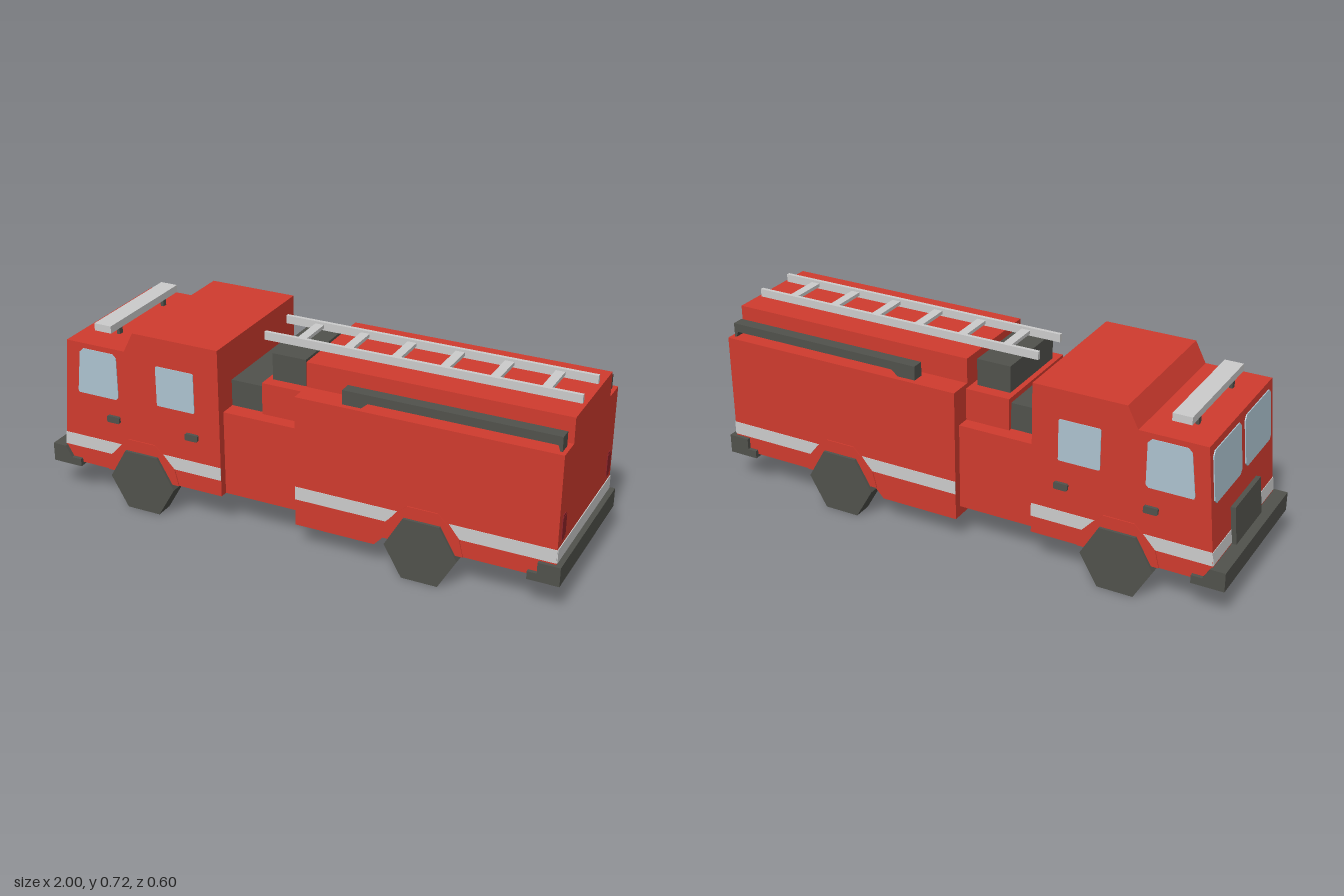
import * as THREE from 'three';

export function createModel() {
  const truck = new THREE.Group();
  truck.name = 'fireTruck';

  const mat = (name, color) => {
    const m = new THREE.MeshStandardMaterial({ color });
    m.name = name;
    return m;
  };
  const red = mat('red paint', 0xd03b2e);
  const dark = mat('dark grey', 0x51524c);
  const silver = mat('light grey', 0xcccccc);
  const glass = mat('window glass', 0xadc3d0);
  const tail = mat('tail light red', 0x8f2328);

  const add = (name, geo, material, parent = truck) => {
    const m = new THREE.Mesh(geo, material);
    m.name = name;
    parent.add(m);
    return m;
  };

  // Box given by its limits on each axis
  const box = (name, material, [x0, x1], [y0, y1], [z0, z1], parent) => {
    const m = add(name, new THREE.BoxGeometry(x1 - x0, y1 - y0, z1 - z0), material, parent);
    m.position.set((x0 + x1) / 2, (y0 + y1) / 2, (z0 + z1) / 2);
    return m;
  };

  // Side profile (x, y) extruded along z between two limits
  const slab = (name, material, pts, z0, z1, parent) => {
    const shape = new THREE.Shape(pts.map(([x, y]) => new THREE.Vector2(x, y)));
    const geo = new THREE.ExtrudeGeometry(shape, { depth: z1 - z0, bevelEnabled: false });
    geo.translate(0, 0, z0);
    return add(name, geo, material, parent);
  };
  const pair = (name, material, pts, z0, z1) => {
    slab(name + 'Left', material, pts, z0, z1);
    slab(name + 'Right', material, pts, -z1, -z0);
  };

  // Rectangle with chamfered corners
  const cut = (x0, x1, y0, y1, c) => [
    [x0 + c, y0], [x1 - c, y0], [x1, y0 + c], [x1, y1 - c],
    [x1 - c, y1], [x0 + c, y1], [x0, y1 - c], [x0, y0 + c],
  ];

  const W = 0.286; // half width of the body

  // Cab with raised crew roof
  slab('cab', red, [
    [-0.955, 0.135], [-0.28, 0.135], [-0.28, 0.708], [-0.625, 0.708],
    [-0.665, 0.63], [-0.91, 0.63],
  ], -W, W);

  // Pump section and its equipment
  box('pumpSection', red, [-0.28, 0.02], [0.135, 0.46], [-0.255, 0.255]);
  box('pumpPanel', dark, [-0.28, -0.15], [0.46, 0.56], [-0.19, 0.19]);
  box('waterTank', red, [-0.15, 0.02], [0.46, 0.58], [-0.205, 0.205]);
  box('hoseBox', dark, [-0.13, 0], [0.58, 0.68], [-0.16, 0.16]);

  // Rear body with lowered skirt and narrower top
  slab('rearBody', red, [
    [0.02, 0.097], [0.325, 0.097], [0.36, 0.135], [0.98, 0.135], [0.98, 0.597], [0.02, 0.597],
  ], -W, W);
  box('rearTop', red, [0.02, 0.98], [0.597, 0.69], [-0.195, 0.195]);

  // Roof-side rails standing on the ledges
  pair('sideRail', dark, [
    [0.19, 0.597], [0.26, 0.597], [0.285, 0.618], [0.95, 0.618],
    [0.957, 0.597], [0.965, 0.597], [0.965, 0.65], [0.19, 0.65],
  ], 0.22, 0.265);

  // Side stripes
  pair('cabStripeFront', silver, [[-0.949, 0.2], [-0.745, 0.2], [-0.7, 0.25], [-0.944, 0.25]], W, W + 0.002);
  pair('cabStripeRear', silver, [[-0.475, 0.2], [-0.28, 0.2], [-0.28, 0.25], [-0.52, 0.25]], W, W + 0.002);
  pair('bodyStripeFront', silver, [[0.02, 0.2], [0.37, 0.2], [0.41, 0.25], [0.02, 0.25]], W, W + 0.002);
  pair('bodyStripeRear', silver, [[0.64, 0.2], [0.98, 0.2], [0.98, 0.25], [0.6, 0.25]], W, W + 0.002);
  box('backStripe', silver, [0.98, 0.983], [0.2, 0.25], [-W, W]);

  // Side windows and door handles
  pair('frontWindow', glass, [
    [-0.87, 0.43], [-0.71, 0.43], [-0.7, 0.44], [-0.7, 0.595],
    [-0.715, 0.61], [-0.84, 0.61], [-0.855, 0.595], [-0.873, 0.44],
  ], W, W + 0.003);
  pair('crewWindow', glass, cut(-0.535, -0.38, 0.445, 0.6, 0.004), W, W + 0.003);
  for (const x of [-0.75, -0.42]) pair('doorHandle', dark, cut(x, x + 0.052, 0.337, 0.363, 0.004), W, W + 0.011);

  // Wheels and arches
  for (const x of [-0.61, 0.503]) {
    pair('wheelArch', red, [
      [x - 0.152, 0.135], [x + 0.152, 0.135], [x + 0.136, 0.2], [x + 0.057, 0.28],
      [x - 0.057, 0.28], [x - 0.136, 0.2],
    ], W, W + 0.004);
    for (const s of [1, -1]) {
      const geo = new THREE.CylinderGeometry(0.135, 0.135, 0.07, 6).toNonIndexed();
      geo.computeVertexNormals();
      geo.rotateY(Math.PI / 2);
      geo.rotateX(Math.PI / 2);
      add(s > 0 ? 'wheelLeft' : 'wheelRight', geo, dark).position.set(x, 0.117, s * 0.265);
    }
  }

  // Bumpers
  slab('frontBumper', dark, [
    [-1, 0.122], [-0.88, 0.122], [-0.88, 0.152], [-0.92, 0.152], [-0.945, 0.194], [-1, 0.194],
  ], -0.3, 0.3);
  slab('rearBumper', dark, [
    [0.885, 0.122], [1, 0.122], [1, 0.194], [0.92, 0.194], [0.92, 0.152], [0.885, 0.152],
  ], -0.3, 0.3);

  // Sloped cab front: local x runs along the truck's z, local y up the slope
  const slope = new THREE.Group();
  slope.name = 'cabFront';
  slope.position.set(-0.955, 0.135, 0);
  slope.rotation.z = -Math.atan2(0.045, 0.495);
  const face = new THREE.Group();
  face.name = 'cabFrontDetails';
  face.rotation.y = -Math.PI / 2;
  slope.add(face);
  truck.add(slope);
  box('frontStripe', silver, [-W, W], [0.065, 0.115], [0, 0.002], face);
  box('grille', dark, [-0.12, 0.12], [0.06, 0.2], [0, 0.018], face);
  slab('windshieldLeft', glass, cut(0.018, 0.262, 0.28, 0.47, 0.015), 0, 0.004, face);
  slab('windshieldRight', glass, cut(-0.262, -0.018, 0.28, 0.47, 0.015), 0, 0.004, face);

  // Light bar on its feet
  box('lightBar', silver, [-0.825, -0.755], [0.66, 0.688], [-0.228, 0.228]);
  for (const x of [-0.815, -0.77]) {
    for (const z of [-0.15, 0.15]) box('lightBarFoot', dark, [x - 0.006, x + 0.006], [0.63, 0.66], [z - 0.01, z + 0.01]);
  }

  // Ladder
  for (const z of [-0.083, 0.083]) box('ladderRail', silver, [-0.2, 0.967], [0.691, 0.721], [z - 0.007, z + 0.007]);
  for (let i = 0; i < 6; i++) {
    const x = -0.065 + i * 0.18;
    box('ladderRung', silver, [x - 0.017, x + 0.017], [0.699, 0.712], [-0.077, 0.077]);
  }

  // Tail lights
  for (const z of [-0.242, 0.242]) {
    box('tailLight', tail, [0.98, 0.984], [0.28, 0.357], [z - 0.019, z + 0.019]);
    box('tailLightCore', tail, [0.98, 0.983], [0.271, 0.366], [z - 0.012, z + 0.012]);
  }

  return truck;
}
